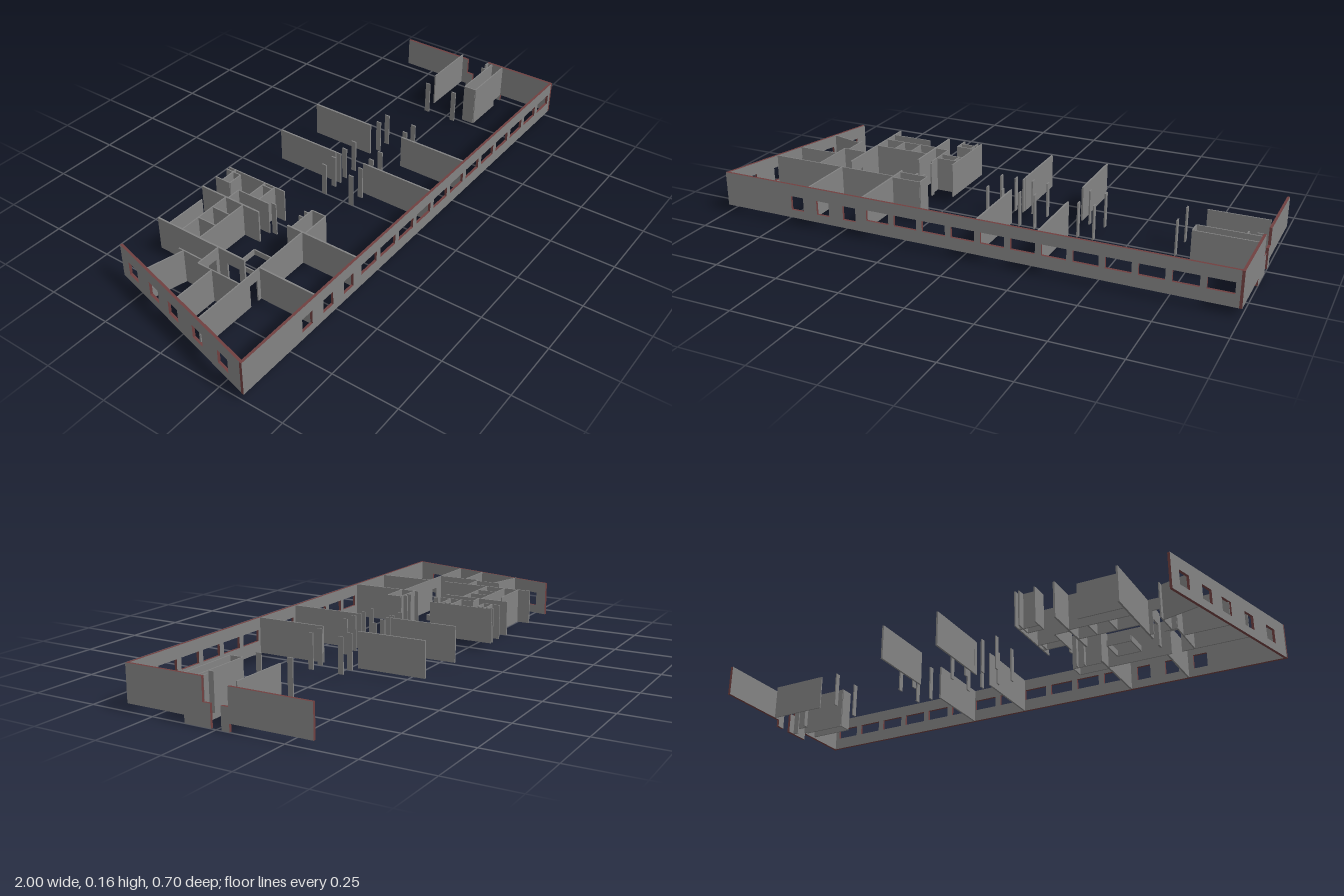
import * as THREE from 'three';

const FLOOR = 0.028, TOP = 0.162, THIN = 0.005, THICK = 0.01;
const grey = new THREE.MeshStandardMaterial({ color: 0x828282 });
const rim = new THREE.MeshStandardMaterial({ color: 0x704040 });

// Upright slab following an outline (distance along wall, height) with holes [s0, s1, y0, y1];
// thick outer walls get a dark red rim
function slab(name, x1, z1, x2, z2, outline, t, holes = []) {
  const shape = new THREE.Shape(outline.map(([s, y]) => new THREE.Vector2(s, y)));
  for (const [a, b, c, d] of holes) {
    shape.holes.push(new THREE.Path([[a, c], [a, d], [b, d], [b, c]].map(([s, y]) => new THREE.Vector2(s, y))));
  }
  const geometry = new THREE.ExtrudeGeometry(shape, { depth: t, bevelEnabled: false });
  geometry.translate(0, 0, -t / 2);
  const mesh = new THREE.Mesh(geometry, [grey, t === THICK ? rim : grey]);
  mesh.rotation.y = -Math.atan2(z2 - z1, x2 - x1);
  mesh.position.set(x1, 0, z1);
  mesh.name = name;
  return mesh;
}

// Rectangular wall between two plan points, with an optional doorway [s0, s1, top]
function wall(name, x1, z1, x2, z2, { y0 = FLOOR, y1 = TOP, t = THIN, holes, door } = {}) {
  const l = Math.hypot(x2 - x1, z2 - z1);
  const outline = [[0, y0]];
  if (door) outline.push([door[0], y0], [door[0], door[2]], [door[1], door[2]], [door[1], y0]);
  outline.push([l, y0], [l, y1], [0, y1]);
  return slab(name, x1, z1, x2, z2, outline, t, holes);
}

export function createModel() {
  const model = new THREE.Group();
  model.name = 'floorPlan';
  const add = (...meshes) => model.add(...meshes);

  // Front wall: three small windows, then a row of twelve wide ones
  const frontHoles = [-0.706, -0.594, -0.48].map((x) => [x + 1, x + 1.054, 0.06, 0.115]);
  for (let i = 0; i < 12; i++) {
    const s = 0.62 + i * 0.1147;
    frontHoles.push([s, s + 0.092, 0.075, 0.117]);
  }
  add(wall('frontWall', -1, 0.346, 0.99, 0.346, { t: THICK, holes: frontHoles }));

  // Slanted end wall with five windows
  const slantHoles = [0.1, 0.3, 0.5, 0.665, 0.85].map((f) => [f * 0.716, f * 0.716 + 0.057, 0.06, 0.115]);
  add(wall('slantedWall', -0.994, 0.345, -0.809, -0.342, { t: THICK, holes: slantHoles }));

  // Square end wall, in two halves with a stepped entrance between them
  add(slab('endWallFront', 0.995, 0.351, 0.995, 0.02,
    [[0, FLOOR], [0.229, FLOOR], [0.229, 0], [0.331, 0], [0.331, 0.08], [0.302, 0.08], [0.302, TOP], [0, TOP]], THICK));
  add(slab('endWallBack', 0.995, -0.02, 0.995, -0.351,
    [[0, 0], [0.03, 0], [0.03, FLOOR], [0.331, FLOOR], [0.331, 0.145], [0.028, 0.145], [0.028, 0.08], [0, 0.08]], THICK));

  // Entrance side rooms
  for (const z of [0.12, 0.07]) {
    add(slab('entranceRoomWall', 0.765, z, 0.99, z,
      [[0, 0], [0.17, 0], [0.17, FLOOR], [0.225, FLOOR], [0.225, TOP], [0, TOP]], THIN));
  }
  add(wall('entranceRoomEnd', 0.765, 0.07, 0.765, 0.12, { y0: 0 }));
  add(wall('entranceReturn', 0.968, 0.05, 0.99, 0.05, { y0: 0 }));
  add(wall('entranceBackWall', 0.765, -0.075, 0.99, -0.075));

  // Cross partitions either side of the corridor
  for (const x of [0.293, 0.062, -0.398]) {
    add(wall('backPartition', x, -0.342, x, -0.078, { t: 0.007 }));
    add(wall('frontPartition', x, x < 0 ? 0.05 : 0.067, x, 0.341, { t: 0.007 }));
  }
  add(wall('backPartition', -0.628, -0.342, -0.628, 0.05, { t: 0.007, door: [0.315, 0.369, 0.11] }));
  add(wall('frontPartition', -0.628, 0.115, -0.628, 0.341, { t: 0.007 }));

  // Doorways leading to the slanted end rooms
  add(wall('hallFrontWall', -0.93, 0.115, -0.4, 0.115, { door: [0.246, 0.284, 0.118] }));
  add(wall('hallBackWall', -0.73, -0.065, -0.63, -0.065, { door: [0.046, 0.084, 0.118] }));

  // Room walls given as plan segments [x1, z1, x2, z2]
  const rooms = {
    slantedEndRoom: [
      [-0.9, -0.005, -0.73, -0.005], [-0.73, -0.065, -0.73, 0.115],
      [-0.71, -0.17, -0.71, -0.065], [-0.855, -0.185, -0.71, -0.147],
    ],
    smallRooms: [
      [-0.63, -0.23, -0.4, -0.23], [-0.63, -0.15, -0.4, -0.15], [-0.545, -0.23, -0.545, -0.15],
      [-0.47, -0.23, -0.47, -0.15], [-0.63, -0.29, -0.46, -0.29],
    ],
    serviceRooms: [
      [-0.4, -0.22, -0.34, -0.22], [-0.34, -0.22, -0.34, -0.08], [-0.25, -0.342, -0.25, -0.08],
      [-0.325, -0.342, -0.325, -0.275], [-0.265, -0.342, -0.265, -0.275], [-0.325, -0.31, -0.25, -0.31],
      [-0.325, -0.275, -0.265, -0.275], [-0.34, -0.17, -0.25, -0.17], [-0.34, -0.125, -0.25, -0.125],
      [-0.265, -0.17, -0.265, -0.125],
    ],
    closet: [
      [-0.4, 0.068, -0.28, 0.068], [-0.4, 0.127, -0.28, 0.127], [-0.28, 0.068, -0.28, 0.127],
    ],
  };
  for (const [name, segments] of Object.entries(rooms)) {
    const room = new THREE.Group();
    room.name = name;
    for (const s of segments) room.add(wall(name + 'Wall', ...s));
    add(room);
  }

  // Low square enclosure in the hall
  const [l, r, b, f] = [-0.555, -0.465, -0.05, 0.045];
  for (const s of [[l, b, r, b], [l, f, r, f], [l, b, l, f], [r, b, r, f]]) {
    add(wall('lowEnclosure', ...s, { y1: 0.05 }));
  }

  // Narrow door posts lining the corridor
  const posts = [-0.33, -0.03, 0.03, 0.062, 0.1, 0.16, 0.33, 0.39, 0.695];
  for (const x of posts) {
    add(wall('backDoorPost', x, -0.075, x, -0.055));
    add(wall('frontDoorPost', x, 0.048, x, 0.068));
  }
  for (const x of [-0.3, 0.94]) add(wall('frontDoorPost', x, 0.048, x, 0.068));

  return model;
}
